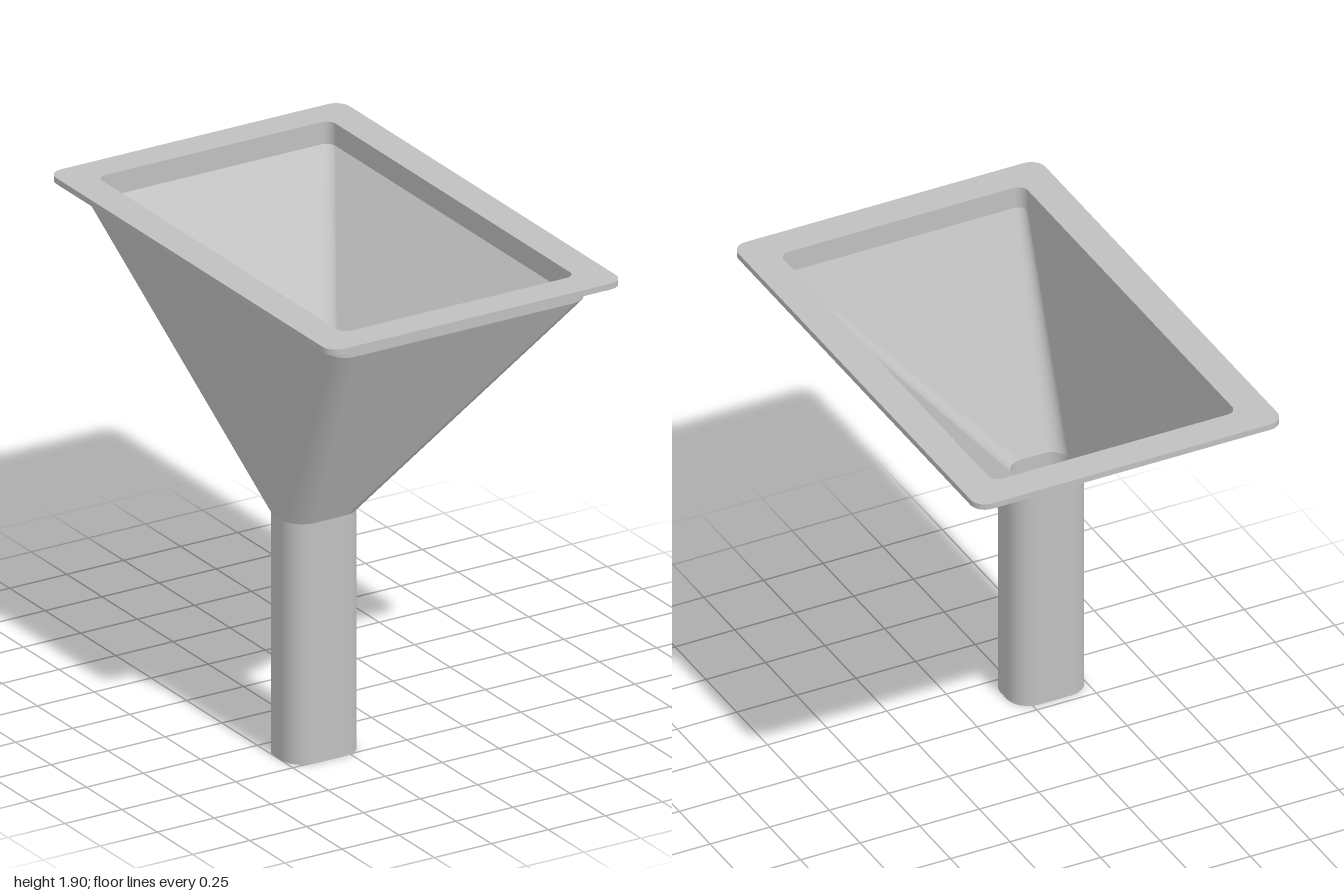
import * as THREE from 'three';

const ARC = 10; // segments per rounded corner

// Rounded rectangle at height y: centre (cx, cz), half sizes hx, hz, corner radius r
const ring = (y, cx, cz, hx, hz, r) => ({ y, cx, cz, hx, hz, r });

// Points run round the ring; each corner arc starts and ends exactly on the flats
function ringPoints({ y, cx, cz, hx, hz, r }) {
  const pts = [];
  for (let q = 0; q < 4; q++) {
    const sx = q === 0 || q === 3 ? 1 : -1;
    const sz = q < 2 ? 1 : -1;
    for (let i = 0; i <= ARC; i++) {
      const a = (q + i / ARC) * Math.PI / 2;
      pts.push({
        p: new THREE.Vector3(cx + sx * (hx - r) + r * Math.cos(a), y, cz + sz * (hz - r) + r * Math.sin(a)),
        t: new THREE.Vector3(-Math.sin(a), 0, Math.cos(a)),
      });
    }
  }
  return pts;
}

// Skin consecutive rings; smooth around the corners, sharp between bands
function loft(rings) {
  const pos = [], nor = [], idx = [];
  for (let k = 0; k < rings.length - 1; k++) {
    const A = ringPoints(rings[k]), B = ringPoints(rings[k + 1]);
    const n = A.length, base = pos.length / 3;
    for (let i = 0; i < n; i++) {
      const normal = B[i].p.clone().sub(A[i].p).cross(A[i].t).normalize();
      pos.push(...A[i].p.toArray(), ...B[i].p.toArray());
      nor.push(...normal.toArray(), ...normal.toArray());
      const a = base + 2 * i, b = base + 2 * ((i + 1) % n);
      idx.push(a, a + 1, b, b, a + 1, b + 1);
    }
  }
  const g = new THREE.BufferGeometry();
  g.setAttribute('position', new THREE.Float32BufferAttribute(pos, 3));
  g.setAttribute('normal', new THREE.Float32BufferAttribute(nor, 3));
  g.setIndex(idx);
  return g;
}

export function createModel() {
  const group = new THREE.Group();
  const grey = new THREE.MeshStandardMaterial({ color: 0xc0c0c0 });
  grey.name = 'light grey';

  const spoutOuter = y => ring(y, -0.342, 0.393, 0.157, 0.115, 0.09);
  const spoutInner = y => ring(y, -0.342, 0.39, 0.118, 0.077, 0.07);
  const collarOuter = y => ring(y, 0, 0, 0.553, 0.907, 0.07);
  const collarInner = y => ring(y, 0, 0, 0.512, 0.867, 0.04);
  const rim = y => ring(y, 0, 0, 0.644, 1, 0.06);

  const neck = 0.975, shoulder = 1.81, under = 1.876, top = 1.9;

  const add = (name, ...rings) => {
    const mesh = new THREE.Mesh(loft(rings), grey);
    mesh.name = name;
    group.add(mesh);
  };

  // Spout: bore, bottom lip and outside wall
  add('spout', spoutInner(neck), spoutInner(0), spoutOuter(0), spoutOuter(neck));
  // Slanted hopper walls
  add('hopperOutside', spoutOuter(neck), collarOuter(shoulder));
  add('hopperInside', collarInner(shoulder), spoutInner(neck));
  // Straight collar under the rim
  add('collarOutside', collarOuter(shoulder), collarOuter(under));
  add('collarInside', collarInner(top), collarInner(shoulder));
  // Flat flange around the mouth
  add('flange', collarOuter(under), rim(under), rim(top), collarInner(top));

  return group;
}
